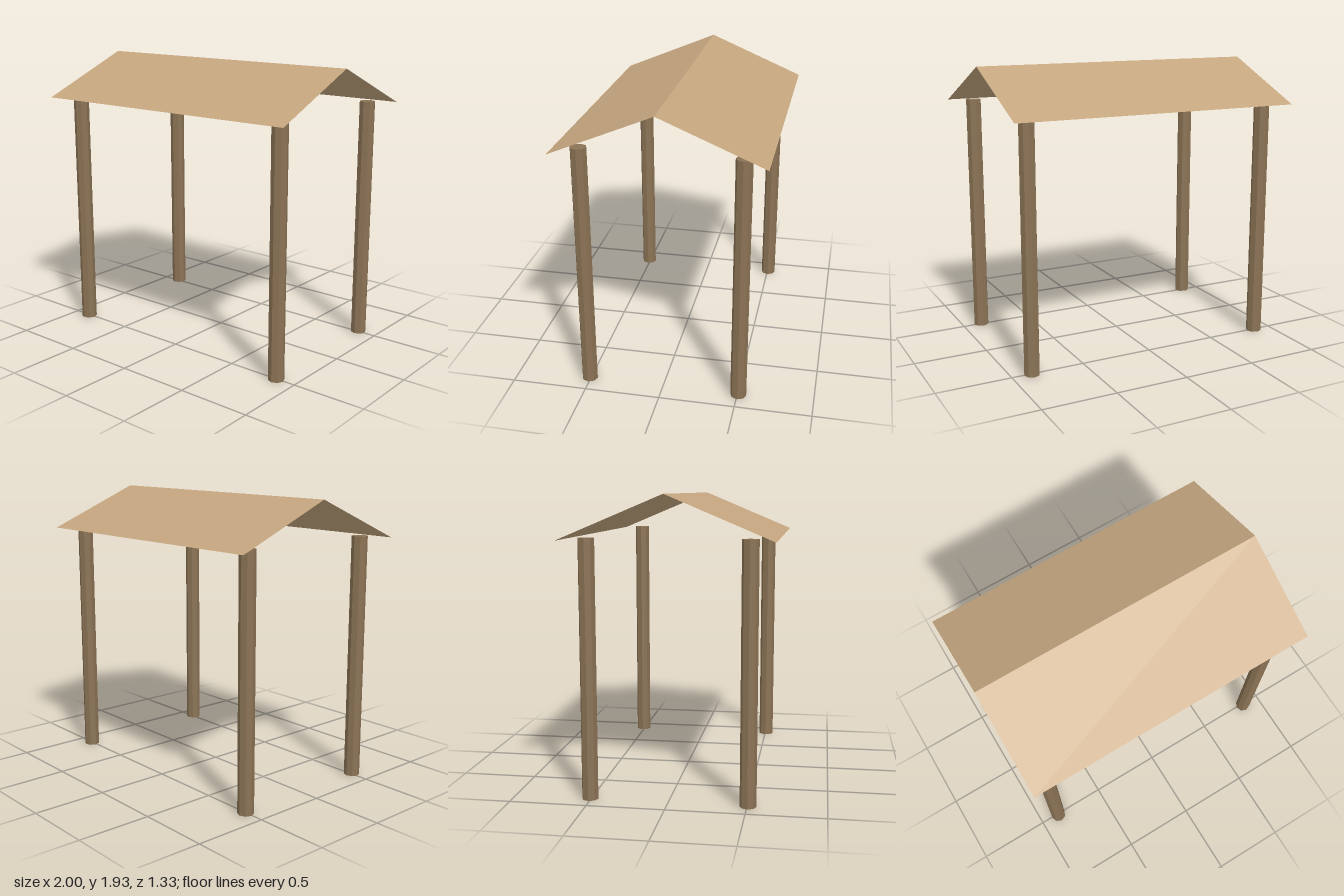
import * as THREE from 'three';

export function createModel() {
  const group = new THREE.Group();
  group.name = 'shelter';

  const postWood = new THREE.MeshStandardMaterial({ color: 0x8b7355, flatShading: true });
  postWood.name = 'post wood';
  const roofTan = new THREE.MeshStandardMaterial({ color: 0xc4a57e, flatShading: true, side: THREE.DoubleSide });
  roofTan.name = 'roof tan';

  // Four eight-sided posts at the corners
  const postHeight = 1.667;
  const postGeometry = new THREE.CylinderGeometry(0.053, 0.053, postHeight, 8);
  for (const x of [-0.865, 0.865]) {
    for (const z of [-0.507, 0.507]) {
      const post = new THREE.Mesh(postGeometry, postWood);
      post.name = `${z > 0 ? 'front' : 'back'}${x > 0 ? 'Left' : 'Right'}Post`;
      post.position.set(x, postHeight / 2, z);
      group.add(post);
    }
  }

  // Two thin sloping roof sheets that meet at the ridge
  const ridgeY = 1.935, eaveY = 1.655, eaveZ = 0.667;
  const drop = ridgeY - eaveY;
  const slopeLength = Math.hypot(drop, eaveZ);
  for (const side of [1, -1]) {
    const sheet = new THREE.PlaneGeometry(2, slopeLength);
    sheet.rotateX(-Math.PI / 2 + Math.atan2(drop, eaveZ));
    sheet.translate(0, (ridgeY + eaveY) / 2, eaveZ / 2);
    if (side < 0) sheet.rotateY(Math.PI);
    const roof = new THREE.Mesh(sheet, roofTan);
    roof.name = side > 0 ? 'frontRoof' : 'backRoof';
    group.add(roof);
  }

  return group;
}
